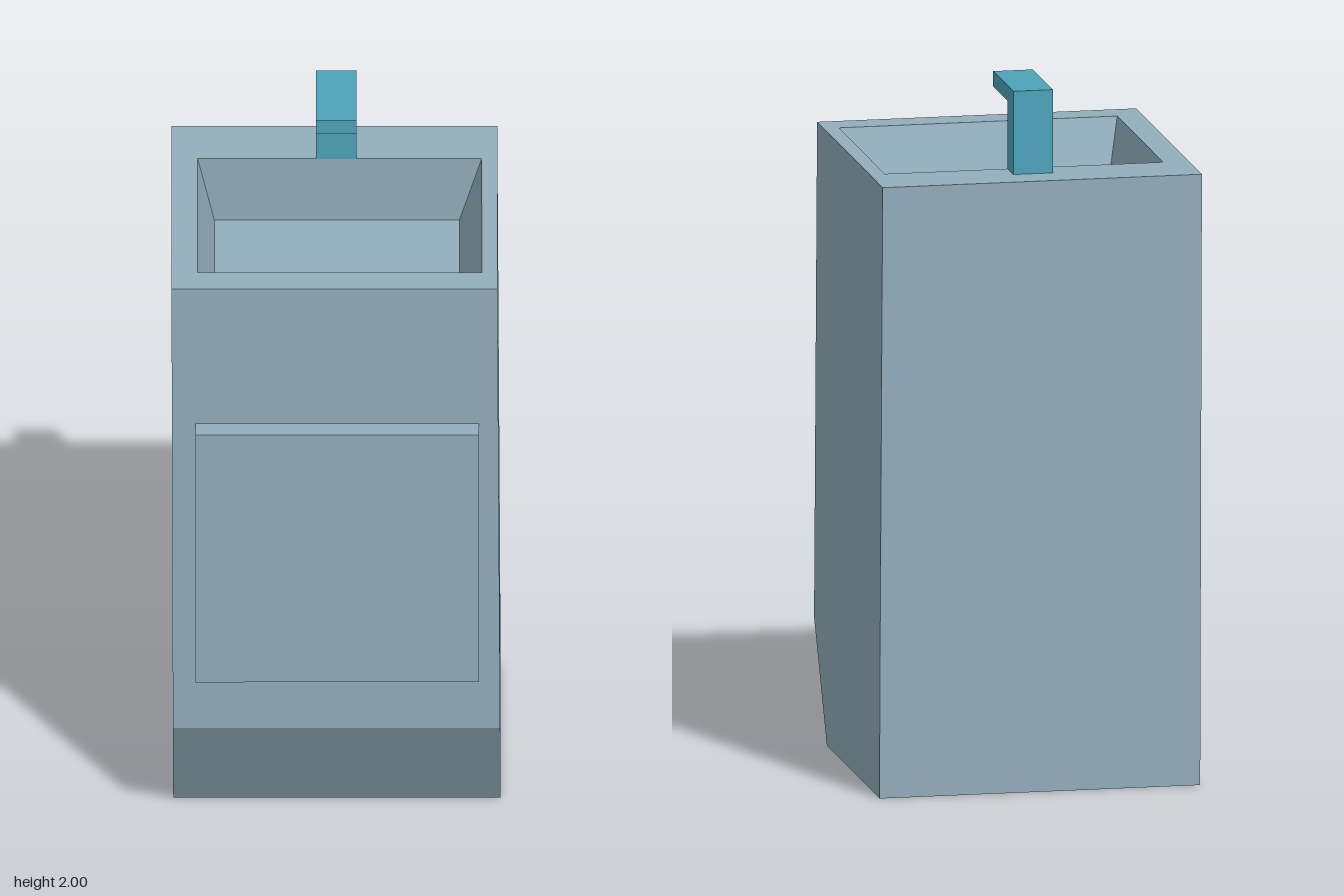
import * as THREE from 'three';

// Closed solid through rectangular rings [y, x0, x1, z0, z1], listed along the surface from the underside
function loft(rings) {
  const loops = rings.map(([y, x0, x1, z0, z1]) => [[x0, y, z1], [x1, y, z1], [x1, y, z0], [x0, y, z0]]);
  const pos = [];
  const quad = (a, b, c, d) => [a, b, c, a, c, d].forEach((p) => pos.push(...p));
  for (let r = 0; r < loops.length - 1; r++) {
    const lo = loops[r], hi = loops[r + 1];
    for (let i = 0; i < 4; i++) {
      const j = (i + 1) % 4;
      quad(lo[i], lo[j], hi[j], hi[i]);
    }
  }
  const first = loops[0], last = loops[loops.length - 1];
  quad(first[3], first[2], first[1], first[0]);
  quad(...last);
  const geo = new THREE.BufferGeometry();
  geo.setAttribute('position', new THREE.Float32BufferAttribute(pos, 3));
  geo.computeVertexNormals();
  return geo;
}

// Side profile of [z, y] points, extruded across x0..x1
function sideExtrude(points, x0, x1) {
  const shape = new THREE.Shape(points.map(([z, y]) => new THREE.Vector2(-z, y)));
  const geo = new THREE.ExtrudeGeometry(shape, { depth: x1 - x0, bevelEnabled: false });
  return geo.rotateY(Math.PI / 2).translate(x0, 0, 0);
}

export function createModel() {
  const model = new THREE.Group();
  model.name = 'drinkingFountain';

  const casing = new THREE.MeshStandardMaterial({ color: 0x92aebc });
  casing.name = 'greyBlueCasing';
  const teal = new THREE.MeshStandardMaterial({ color: 0x4da3ba });
  teal.name = 'tealTap';

  // The whole fountain stands slightly turned
  const fountain = new THREE.Group();
  fountain.name = 'fountain';
  fountain.rotation.y = 0.064;
  fountain.position.set(-0.005, 0, -0.031);
  model.add(fountain);

  const add = (name, geometry, material) => {
    const mesh = new THREE.Mesh(geometry, material);
    mesh.name = name;
    fountain.add(mesh);
  };

  // Cabinet with a sloped toe, an open top and a basin with slanted walls
  add('cabinetWithBasin', loft([
    [0, -0.455, 0.468, -0.46, 0.278],
    [0.333, -0.456, 0.467, -0.46, 0.463],
    [1.76, -0.46, 0.459, -0.46, 0.46],
    [1.76, -0.386, 0.415, -0.276, 0.368],
    [1.56, -0.339, 0.352, -0.276, 0.279],
  ]), casing);

  // Raised front panel, slightly tapered towards its lower edge
  add('frontPanel', sideExtrude(
    [[0.45, 1.322], [0.526, 1.322], [0.519, 0.514], [0.45, 0.497]], -0.393, 0.407), casing);

  // Angular tap: post at the back with a spout reaching over the basin
  add('tap', sideExtrude(
    [[-0.358, 1.76], [-0.358, 2], [-0.076, 2], [-0.076, 1.956], [-0.273, 1.956], [-0.273, 1.76]],
    -0.052, 0.062), teal);

  return model;
}
